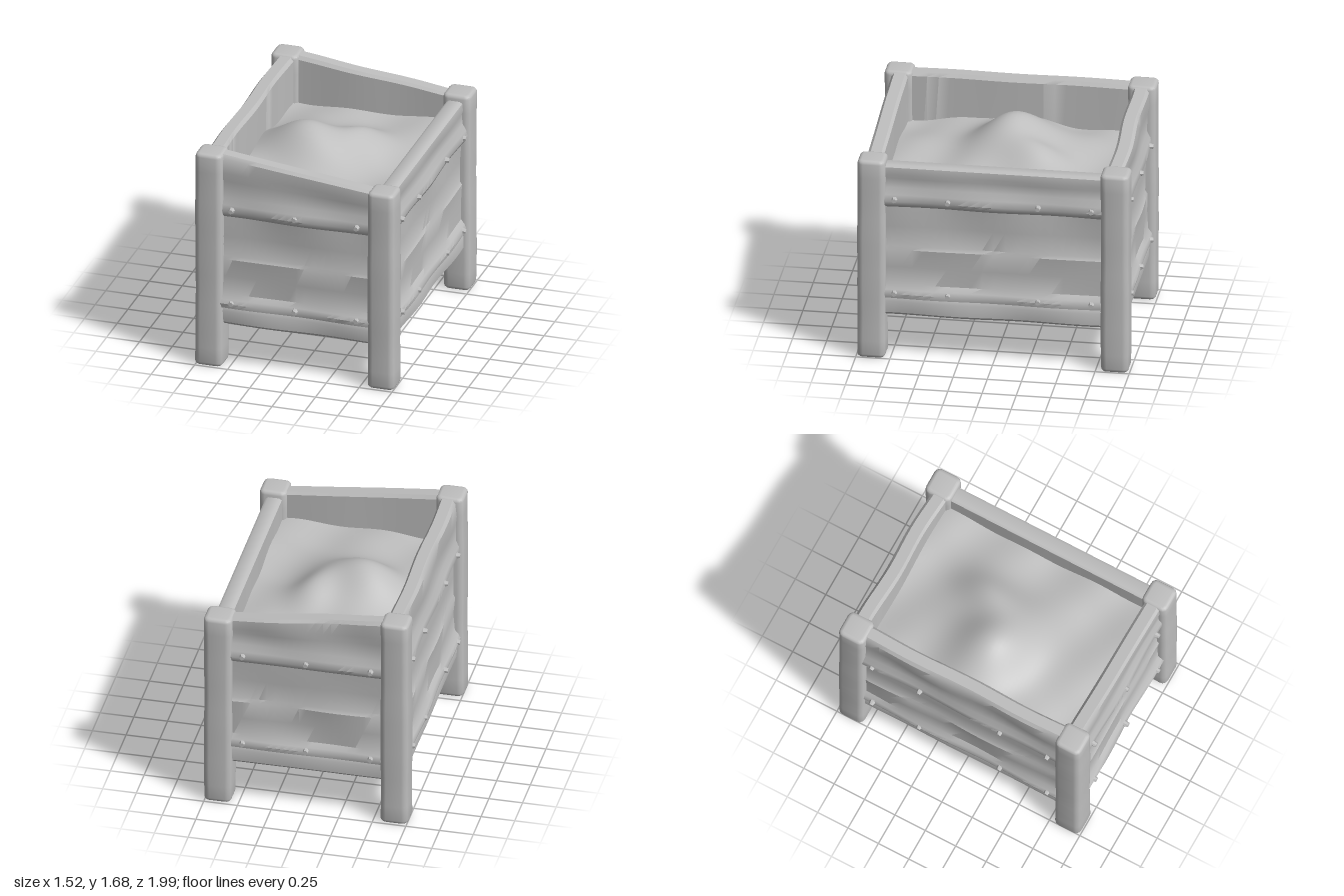
import * as THREE from 'three';
import { toCreasedNormals } from 'three/addons/utils/BufferGeometryUtils.js';

const stone = new THREE.MeshStandardMaterial({ color: 0xbebebe });
stone.name = 'plain grey';

// Move every vertex of a geometry by a rule
function reshape(geometry, rule) {
  const p = geometry.attributes.position;
  const v = new THREE.Vector3();
  for (let i = 0; i < p.count; i++) {
    v.fromBufferAttribute(p, i);
    rule(v);
    p.setXYZ(i, v.x, v.y, v.z);
  }
  return geometry;
}

function addMesh(parent, name, geometry, crease = 0.7) {
  const mesh = new THREE.Mesh(toCreasedNormals(geometry, crease), stone);
  mesh.name = name;
  parent.add(mesh);
  return mesh;
}

// Rough-hewn post: rounded square section with soft worn ends
function postGeometry(height, seed) {
  const h = 0.075, r = 0.02, bevel = 0.028;
  const s = new THREE.Shape();
  s.moveTo(-h + r, -h);
  s.lineTo(h - r, -h);
  s.quadraticCurveTo(h, -h, h, -h + r);
  s.lineTo(h, h - r);
  s.quadraticCurveTo(h, h, h - r, h);
  s.lineTo(-h + r, h);
  s.quadraticCurveTo(-h, h, -h, h - r);
  s.lineTo(-h, -h + r);
  s.quadraticCurveTo(-h, -h, -h + r, -h);
  const g = new THREE.ExtrudeGeometry(s, {
    depth: height - 2 * bevel, steps: 14, curveSegments: 3,
    bevelThickness: bevel, bevelSize: bevel, bevelSegments: 3,
  });
  g.rotateX(-Math.PI / 2).translate(0, bevel, 0);
  return reshape(g, (v) => {
    const k = 1 + 0.015 * Math.sin(v.y * 6 + seed) + 0.01 * Math.sin(v.y * 15 + seed * 2);
    v.x *= k;
    v.z *= k;
  });
}

// Section through a planked wall as [depth, height], outer face from bottom to top
const SECTION = [
  [0.82, 0.34], [0.925, 0.34], [0.945, 0.36], [0.95, 0.45], [0.94, 0.475],
  [0.965, 0.485], [0.972, 0.52], [0.96, 0.55], [0.935, 0.585], [0.93, 0.72],
  [0.94, 0.86], [0.925, 0.885], [0.925, 1.04], [0.928, 1.195], [0.955, 1.215],
  [0.97, 1.25], [0.962, 1.3], [0.938, 1.35], [0.935, 1.45], [0.945, 1.5],
  [0.94, 1.58], [0.92, 1.6], [0.84, 1.6], [0.82, 1.58],
];

// Wall running along x, facing +z, its top sloping from topA to topB
function wallGeometry(half, inset, topA, topB, seed) {
  const shape = new THREE.Shape(SECTION.map(([d, y]) => new THREE.Vector2(d, y)));
  const g = new THREE.ExtrudeGeometry(shape, { depth: half * 2, steps: 20, bevelEnabled: false });
  g.rotateY(-Math.PI / 2).translate(half, 0, -inset);
  return reshape(g, (v) => {
    const t = THREE.MathUtils.clamp((v.x / half + 1) / 2, 0, 1);
    const top = THREE.MathUtils.lerp(topA, topB, t);
    if (v.y > 1.36) v.y = 1.36 + (v.y - 1.36) * (top - 1.36) / 0.24;
    v.z += 0.008 * Math.sin(v.x * 7 + v.y * 9 + seed) * Math.sin(v.y * 4 + seed);
  });
}

// Soil surface height: uneven bed with a craggy mound
function soilHeight(x, z) {
  const mound = 0.25 * Math.exp(-(((x + 0.2) / 0.3) ** 2) - ((z + 0.02) / 0.32) ** 2);
  const ridge = 0.1 * Math.exp(-(((x - 0.12) / 0.16) ** 2) - ((z + 0.2) / 0.25) ** 2);
  const bumps = 0.014 * Math.sin(x * 9 + z * 4) + 0.012 * Math.sin(z * 11 - x * 5);
  return 1.33 + mound + ridge + bumps;
}

export function createModel() {
  const model = new THREE.Group();
  model.name = 'planter box';

  // Corner posts, taller on the right
  for (const sx of [-1, 1]) {
    for (const sz of [-1, 1]) {
      const height = sx < 0 ? 1.685 : 1.555;
      const post = addMesh(model, 'cornerPost', postGeometry(height, sx + 2 * sz));
      post.position.set(sx * 0.655, 0.01, sz * 0.89);
    }
  }

  // Planked walls with two rows of pegs
  const walls = [
    { name: 'frontWall', turn: 0, half: 0.6, inset: 0, a: 1.69, b: 1.55, pegs: [-0.48, 0, 0.47] },
    { name: 'backWall', turn: Math.PI, half: 0.6, inset: 0, a: 1.55, b: 1.69, pegs: [-0.47, 0, 0.48] },
    { name: 'leftWall', turn: Math.PI / 2, half: 0.85, inset: 0.235, a: 1.52, b: 1.52, pegs: [-0.72, -0.33, 0.33, 0.72] },
    { name: 'rightWall', turn: -Math.PI / 2, half: 0.85, inset: 0.235, a: 1.685, b: 1.685, pegs: [-0.72, -0.33, 0.33, 0.72] },
  ];
  walls.forEach((w, i) => {
    const wall = new THREE.Group();
    wall.name = w.name;
    wall.rotation.y = w.turn;
    addMesh(wall, 'planks', wallGeometry(w.half, w.inset, w.a, w.b, i * 1.7), 0.6);
    for (const x of w.pegs) {
      for (const y of [0.525, 1.265]) {
        const g = new THREE.CylinderGeometry(0.017, 0.027, 0.05, 7);
        const peg = addMesh(wall, 'peg', g.rotateX(Math.PI / 2));
        peg.position.set(x, y, 0.967 - w.inset);
      }
    }
    model.add(wall);
  });

  // Floor board, slightly recessed under the walls
  const floor = addMesh(model, 'floor', new THREE.BoxGeometry(1.24, 0.05, 1.7));
  floor.position.y = 0.415;

  // Soil filling
  const soil = new THREE.PlaneGeometry(1.22, 1.7, 36, 48);
  soil.rotateX(-Math.PI / 2);
  reshape(soil, (v) => { v.y = soilHeight(v.x, v.z); });
  addMesh(model, 'soil', soil, 0.8);

  return model;
}
